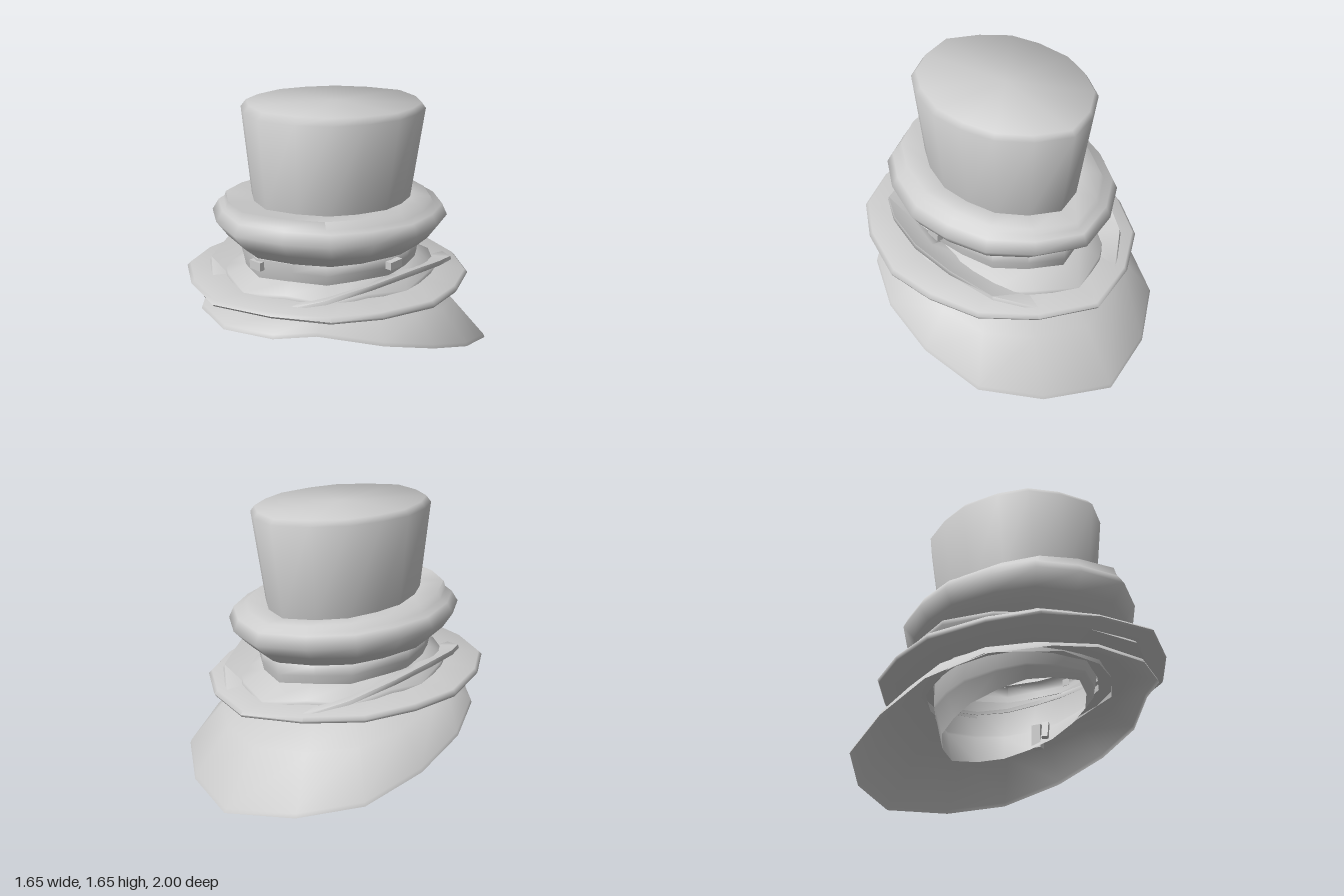
import * as THREE from 'three';
import { toCreasedNormals } from 'three/addons/utils/BufferGeometryUtils.js';

const material = new THREE.MeshStandardMaterial({ color: 0xcccccc, side: THREE.DoubleSide });

// Half of the faceted oval outline, front to back (x, z as fractions of the radii)
const OVAL = [[0, 1], [0.41, 0.87], [0.74, 0.67], [0.91, 0.38], [1, 0], [0.92, -0.32], [0.75, -0.63], [0.42, -0.86], [0, -1]];

// Half ring from half width, front/back z, front/back y, a lift at the sides and a ripple
function ring(rx, zFront, zBack, yFront, yBack, lift = 0, ripple = 0) {
  return OVAL.map(([u, v], i) => {
    const t = (v + 1) / 2;
    return [u * rx, yBack + (yFront - yBack) * t + lift * u ** 2.5 + (i % 2 ? ripple : 0), zBack + (zFront - zBack) * t];
  });
}

// Mirror half rings and skin them, listed from below upwards round the outside
function loft(name, halves, close = false) {
  const rings = halves.map(h => [...h, ...h.slice(1, -1).reverse().map(([x, y, z]) => [-x, y, z])]);
  const n = rings[0].length, index = [];
  const rows = close ? rings.length : rings.length - 1;
  for (let r = 0; r < rows; r++) {
    for (let i = 0; i < n; i++) {
      const s = (r + 1) % rings.length, j = (i + 1) % n;
      const a = r * n + i, b = r * n + j, c = s * n + j, d = s * n + i;
      index.push(a, b, c, a, c, d);
    }
  }
  const g = new THREE.BufferGeometry();
  g.setAttribute('position', new THREE.Float32BufferAttribute(rings.flat(2), 3));
  g.setIndex(index);
  const mesh = new THREE.Mesh(toCreasedNormals(g, 1.4), material);
  mesh.name = name;
  return mesh;
}

function box(name, size, position, rotY = 0, rotZ = 0) {
  const mesh = new THREE.Mesh(new THREE.BoxGeometry(...size), material);
  mesh.name = name;
  mesh.position.set(...position);
  mesh.rotation.set(0, rotY, rotZ);
  return mesh;
}

export function createModel() {
  const hat = new THREE.Group();
  hat.name = 'stackedHat';

  // Tall flared crown with a bevelled, closed top
  hat.add(loft('crown', [
    ring(0.42, 0.59, -0.49, 1.08, 1.0),
    ring(0.49, 0.635, -0.58, 1.61, 1.565),
    ring(0.465, 0.6, -0.555, 1.65, 1.595),
    ring(0, 0.02, 0.02, 1.625, 1.625),
  ]));

  // Thick rolled collar under the crown
  hat.add(loft('collar', [
    ring(0.48, 0.65, -0.53, 0.815, 0.765),
    ring(0.54, 0.69, -0.58, 0.85, 0.79),
    ring(0.6, 0.755, -0.64, 0.905, 0.84),
    ring(0.655, 0.83, -0.72, 1.0, 0.91),
    ring(0.62, 0.79, -0.69, 1.06, 0.98),
    ring(0.565, 0.775, -0.645, 1.075, 0.985),
    ring(0.545, 0.765, -0.63, 1.122, 1.02),
    ring(0.41, 0.58, -0.48, 1.095, 1.02),
  ]));

  // Bands wrapped round the body
  hat.add(loft('upperBand', [
    ring(0.465, 0.655, -0.525, 0.7, 0.63),
    ring(0.48, 0.67, -0.54, 0.765, 0.695, 0, 0.01),
    ring(0.48, 0.67, -0.54, 0.825, 0.765),
    ring(0.46, 0.63, -0.51, 0.83, 0.77),
  ]));
  hat.add(loft('lowerBand', [
    ring(0.56, 0.64, -0.55, 0.55, 0.46, 0, 0.025),
    ring(0.55, 0.64, -0.55, 0.62, 0.55),
  ]));

  // Rippled skirt spreading from the band onto the flat brim
  hat.add(loft('rippledSkirt', [
    ring(0.59, 0.78, -0.68, 0.63, 0.55, 0, 0.03),
    ring(0.585, 0.775, -0.675, 0.65, 0.57, 0, 0.03),
    ring(0.46, 0.65, -0.53, 0.71, 0.645, 0, 0.01),
  ]));

  // Thin brim turned up at the sides
  hat.add(loft('curledBrim', [
    ring(0.45, 0.6, -0.5, 0.6, 0.55, 0.07),
    ring(0.54, 0.75, -0.65, 0.6, 0.53, 0.1),
    ring(0.655, 0.89, -0.81, 0.605, 0.522, 0.165),
    ring(0.65, 0.88, -0.8, 0.62, 0.537, 0.18),
    ring(0.53, 0.74, -0.64, 0.615, 0.545, 0.11),
    ring(0.45, 0.6, -0.5, 0.62, 0.57, 0.08),
  ], true));

  // Wide flat brim
  hat.add(loft('flatBrim', [
    ring(0.48, 0.6, -0.5, 0.595, 0.535),
    ring(0.8, 0.99, -0.84, 0.638, 0.53, -0.01),
    ring(0.81, 1, -0.85, 0.65, 0.545, -0.005),
    ring(0.79, 0.98, -0.83, 0.668, 0.562),
    ring(0.48, 0.6, -0.5, 0.635, 0.575),
  ], true));

  // Drooping brim: lip at the front, sweeping low at the back
  const edge = [[0, 0.478, 0.93], [0.3, 0.485, 0.84], [0.46, 0.49, 0.66], [0.72, 0.425, 0.4], [0.825, 0.335, 0.09],
    [0.81, 0.22, -0.25], [0.69, 0.112, -0.61], [0.395, 0.04, -0.85], [0, 0.004, -1]];
  const root = ring(0.52, 0.55, -0.52, 0.595, 0.46);
  const between = (t, bump) => edge.map((e, i) => e.map((v, k) =>
    v + (root[i][k] - v) * t + (k === 1 ? bump * (0.2 + 0.8 * i / 8) : 0)));
  const lip = edge.map(([x, y, z]) => [x * 0.99, y + 0.022, z * 0.99]);
  hat.add(loft('droopingBrim', [edge, lip, between(0.5, 0.09), root]));

  // Tilted headband inside, hanging lowest at the back
  hat.add(loft('headband', [
    ring(0.38, 0.5, -0.46, 0.49, 0.215),
    ring(0.43, 0.54, -0.5, 0.53, 0.4),
    ring(0.44, 0.545, -0.505, 0.54, 0.415),
    ring(0.46, 0.58, -0.5, 0.72, 0.65),
  ]));

  // Buckles on the band and tabs inside
  hat.add(box('frontBuckle', [0.085, 0.05, 0.04], [0, 0.787, 0.665]));
  hat.add(box('sideBuckle', [0.04, 0.045, 0.1], [0.495, 0.752, 0.06]));
  hat.add(box('innerTab', [0.05, 0.15, 0.06], [0.39, 0.395, -0.1], 0.2));
  hat.add(box('innerTabLoop', [0.03, 0.11, 0.04], [0.365, 0.415, -0.02], 0.4, -0.3));
  return hat;
}
